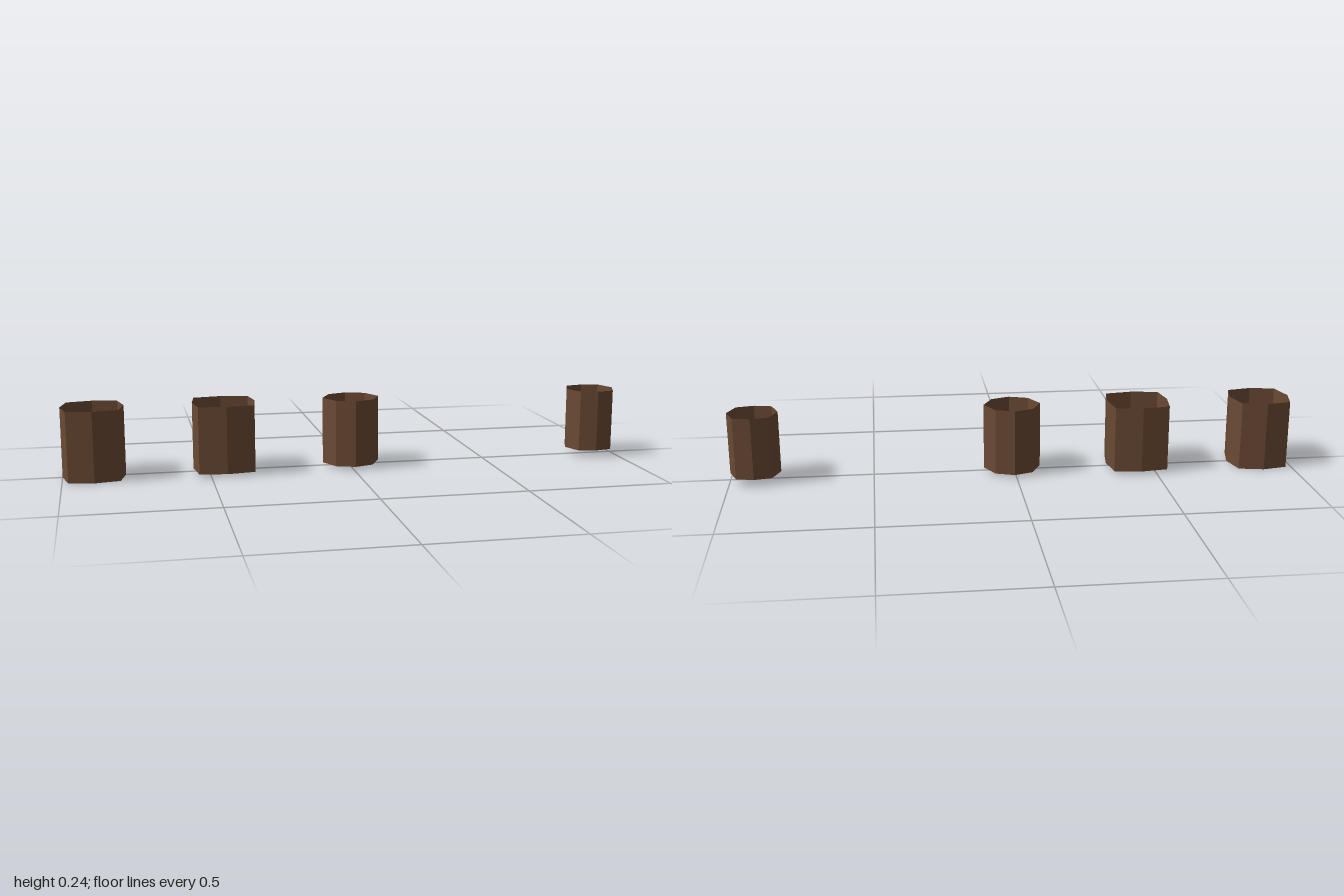
import * as THREE from 'three';

const TOP = 0.244;
const material = new THREE.MeshStandardMaterial({
  color: 0x6b4a34, flatShading: true, side: THREE.DoubleSide,
});

// Eight-sided open pot: half widths on the axes (ax, az) and at the corners (cx, cz)
function makePot(name, x, bottom, ax, az, cx, cz) {
  const ring = [[0, az], [cx, cz], [ax, 0], [cx, -cz], [0, -az], [-cx, -cz], [-ax, 0], [-cx, cz]];
  const pot = new THREE.Group();
  pot.name = name;
  pot.position.x = x;

  const wall = [], floor = [];
  ring.forEach(([x0, z0], i) => {
    const [x1, z1] = ring[(i + 1) % ring.length];
    wall.push(x0, bottom, z0, x1, bottom, z1, x1, TOP, z1);
    wall.push(x0, bottom, z0, x1, TOP, z1, x0, TOP, z0);
    floor.push(0, bottom, 0, x1, bottom, z1, x0, bottom, z0);
  });

  for (const [part, points] of [['wall', wall], ['floor', floor]]) {
    const geometry = new THREE.BufferGeometry();
    geometry.setAttribute('position', new THREE.Float32BufferAttribute(points, 3));
    geometry.computeVertexNormals();
    const mesh = new THREE.Mesh(geometry, material);
    mesh.name = part;
    pot.add(mesh);
  }
  return pot;
}

export function createModel() {
  const group = new THREE.Group();
  group.name = 'potRow';
  // Four pots in a row, largest to smallest
  group.add(
    makePot('largePot', -0.893, 0, 0.107, 0.108, 0.087, 0.09),
    makePot('squarePot', -0.445, 0.01, 0.109, 0.109, 0.096, 0.095),
    makePot('mediumPot', 0.007, 0.01, 0.101, 0.094, 0.066, 0.07),
    makePot('smallPot', 0.912, 0.025, 0.088, 0.082, 0.062, 0.068),
  );
  return group;
}
